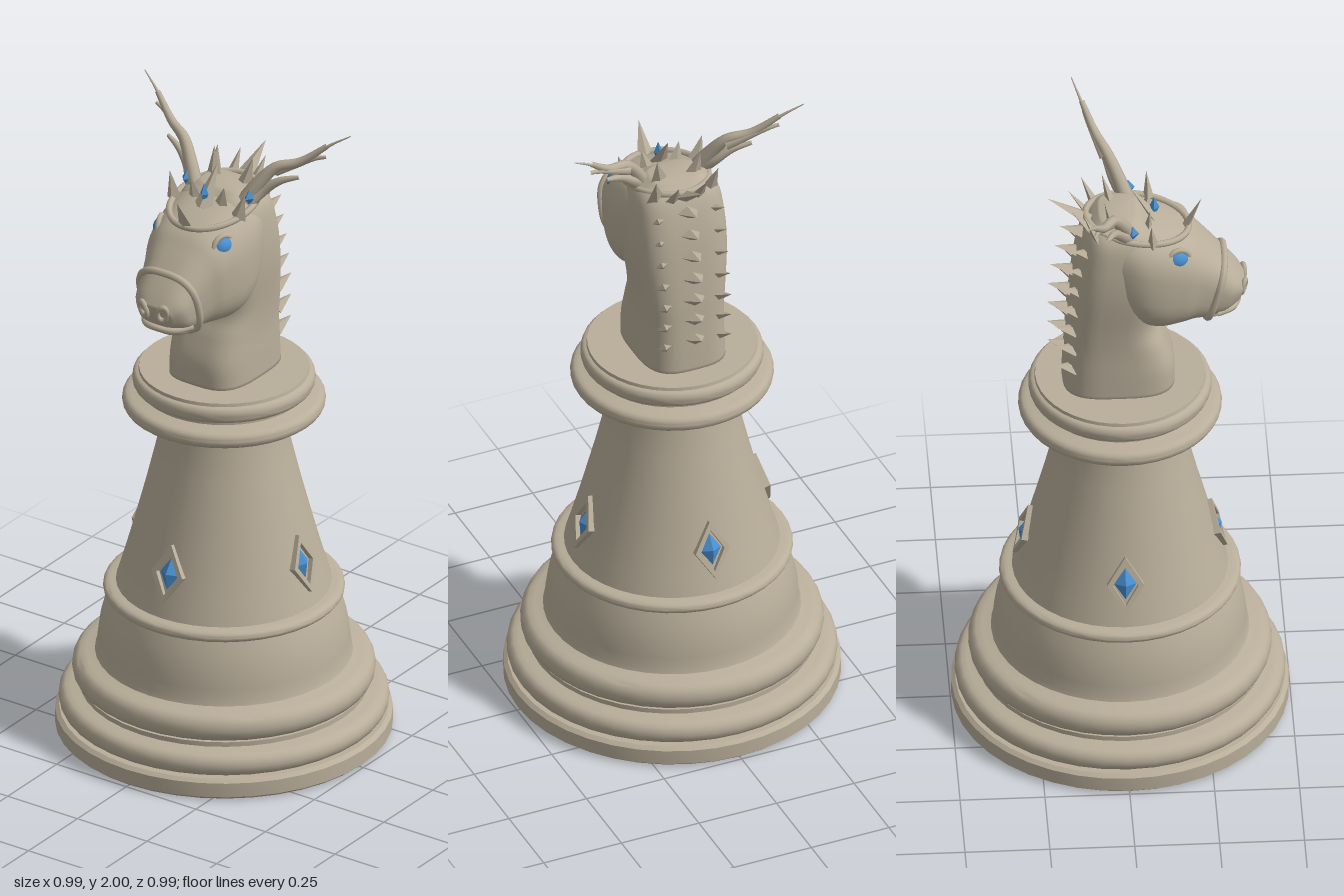
import * as THREE from 'three';
import { toCreasedNormals } from 'three/addons/utils/BufferGeometryUtils.js';

const V = (x, y, z) => new THREE.Vector3(x, y, z);
const spow = (v, p) => Math.sign(v) * Math.abs(v) ** p;

// Rows are [halfWidth, topY, topZ, bottomY, bottomZ]; gives a point on the smooth skin through them
function skin(rows, p) {
  const tops = new THREE.CatmullRomCurve3(rows.map(r => V(r[0], r[1], r[2])), false, 'catmullrom', 0.5);
  const bots = new THREE.CatmullRomCurve3(rows.map(r => V(r[0], r[3], r[4])), false, 'catmullrom', 0.5);
  return (t, a, k = 1) => {
    const u = tops.getPoint(t), b = bots.getPoint(t);
    const s = k * spow(Math.sin(a), p) / 2;
    return V(k * u.x * spow(Math.cos(a), p), (u.y + b.y) / 2 + s * (u.y - b.y), (u.z + b.z) / 2 + s * (u.z - b.z));
  };
}

// Closed lofted body from a skin function
function loft(point, rings = 36, n = 40) {
  const pos = [], idx = [];
  for (let i = 0; i <= rings; i++)
    for (let j = 0; j < n; j++) pos.push(...point(i / rings, j / n * Math.PI * 2).toArray());
  for (let i = 0; i < rings; i++)
    for (let j = 0; j < n; j++) {
      const a = i * n + j, b = i * n + (j + 1) % n;
      idx.push(a, b, a + n, b, b + n, a + n);
    }
  const c = pos.length / 3;
  pos.push(...point(0, 0, 0).toArray(), ...point(1, 0, 0).toArray());
  for (let j = 0; j < n; j++) {
    const k = (j + 1) % n;
    idx.push(c, k, j, c + 1, rings * n + j, rings * n + k);
  }
  const g = new THREE.BufferGeometry();
  g.setAttribute('position', new THREE.Float32BufferAttribute(pos, 3));
  g.setIndex(idx);
  g.computeVertexNormals();
  return g;
}

// Tube that narrows from r0 to r1
function taperTube(points, r0, r1) {
  const curve = new THREE.CatmullRomCurve3(points), seg = 20, rad = 8;
  const g = new THREE.TubeGeometry(curve, seg, r0, rad);
  const pos = g.attributes.position, v = V(0, 0, 0);
  for (let i = 0; i <= seg; i++) {
    const c = curve.getPointAt(i / seg), k = 1 + (r1 / r0 - 1) * i / seg;
    for (let j = 0; j <= rad; j++) {
      const q = i * (rad + 1) + j;
      v.fromBufferAttribute(pos, q).sub(c).multiplyScalar(k).add(c);
      pos.setXYZ(q, v.x, v.y, v.z);
    }
  }
  return g;
}

export function createModel() {
  const model = new THREE.Group();
  const stone = new THREE.MeshStandardMaterial({ color: 0xb9ae9a });
  stone.name = 'stone';
  const blue = new THREE.MeshStandardMaterial({ color: 0x4a90d0 });
  blue.name = 'blue gem';
  const add = (name, geo, mat = stone, parent = model) => {
    const m = new THREE.Mesh(geo, mat);
    m.name = name;
    parent.add(m);
    return m;
  };
  // Flat-sided thorn between two points
  const spike = (name, base, tip, width, flat = 0.5) => {
    const dir = tip.clone().sub(base), len = dir.length();
    const g = toCreasedNormals(new THREE.ConeGeometry(width, len, 4).translate(0, len / 2, 0), 0.3);
    const m = add(name, g);
    m.scale.z = flat;
    m.position.copy(base);
    m.quaternion.setFromUnitVectors(V(0, 1, 0), dir.normalize());
    return m;
  };

  // Turned pedestal
  const profile = [[0, 0], [0.485, 0], [0.497, 0.01], [0.497, 0.055], [0.485, 0.065]];
  const bead = (r, y, dr, dy) => {
    for (let i = 0; i <= 8; i++) {
      const a = -Math.PI / 2 + i / 8 * Math.PI;
      profile.push([r + dr * spow(Math.cos(a), 0.8), y + dy * Math.sin(a)]);
    }
  };
  bead(0.45, 0.1, 0.037, 0.035);
  profile.push([0.425, 0.14], [0.425, 0.155]);
  bead(0.405, 0.2, 0.042, 0.043);
  profile.push([0.38, 0.25], [0.375, 0.265], [0.372, 0.3], [0.365, 0.35], [0.352, 0.4], [0.335, 0.445]);
  bead(0.33, 0.46, 0.026, 0.018);
  profile.push([0.318, 0.48], [0.3, 0.54], [0.28, 0.61], [0.256, 0.7], [0.23, 0.8], [0.206, 0.9], [0.188, 0.98], [0.183, 1.02], [0.205, 1.035], [0.25, 1.05]);
  bead(0.275, 1.08, 0.025, 0.025);
  profile.push([0.245, 1.112], [0.245, 1.125]);
  bead(0.252, 1.15, 0.018, 0.025);
  profile.push([0.25, 1.185], [0, 1.187]);
  const lathe = new THREE.LatheGeometry(profile.map(p => new THREE.Vector2(...p)), 40);
  add('pedestal', toCreasedNormals(lathe, 0.6));

  // Four framed diamonds on the shaft
  const rhombus = (C, w, h) => {
    const s = new C();
    s.moveTo(0, -h); s.lineTo(w, 0); s.lineTo(0, h); s.lineTo(-w, 0); s.closePath();
    return s;
  };
  for (let i = 0; i < 4; i++) {
    const a = i * Math.PI / 2, g = new THREE.Group();
    g.name = 'shaftDiamond';
    g.rotation.set(-0.26, a, 0, 'YXZ');
    g.position.set(Math.sin(a) * 0.274, 0.61, Math.cos(a) * 0.274);
    const frame = rhombus(THREE.Shape, 0.055, 0.09);
    frame.holes.push(rhombus(THREE.Path, 0.038, 0.065));
    add('diamondFrame', new THREE.ExtrudeGeometry(frame, { depth: 0.02, bevelEnabled: false }), stone, g);
    add('diamondGem', new THREE.OctahedronGeometry(1).scale(0.038, 0.065, 0.026), blue, g);
    model.add(g);
  }

  // Neck (rows run back to front) and head (rows run top to bottom)
  add('neck', loft(skin([
    [0.132, 1.18, -0.172, 1.18, 0.16], [0.13, 1.26, -0.168, 1.26, 0.157], [0.128, 1.34, -0.163, 1.34, 0.13],
    [0.132, 1.42, -0.158, 1.42, 0.1], [0.145, 1.55, -0.145, 1.55, 0.12], [0.143, 1.66, -0.128, 1.66, 0.12],
    [0.125, 1.75, -0.1, 1.75, 0.09], [0.07, 1.795, -0.06, 1.795, 0.04]], 0.62)));
  const headSkin = skin([
    [0.11, 1.77, -0.08, 1.52, -0.08], [0.155, 1.785, 0.02, 1.43, 0.05], [0.16, 1.76, 0.11, 1.41, 0.11],
    [0.142, 1.72, 0.2, 1.415, 0.17], [0.12, 1.675, 0.25, 1.42, 0.21], [0.1, 1.615, 0.305, 1.42, 0.25],
    [0.088, 1.565, 0.345, 1.437, 0.295], [0.058, 1.53, 0.368, 1.46, 0.338]], 0.72);
  add('head', loft(headSkin));

  // Noseband, browband and lips
  const loop = (name, pts, r) => add(name, new THREE.TubeGeometry(new THREE.CatmullRomCurve3(pts, true), 64, r, 8, true));
  const around = f => Array.from({ length: 24 }, (_, i) => f(i / 24 * Math.PI * 2));
  loop('noseband', around(a => headSkin(5 / 7, a, 1.03)), 0.011);
  loop('browband', around(a => V(0.122 * Math.sin(a), 1.752 - 0.025 * Math.cos(a), 0.05 + 0.152 * Math.cos(a))), 0.01);
  add('upperLip', taperTube([V(-0.085, 1.455, 0.28), V(-0.05, 1.452, 0.33), V(0, 1.455, 0.347), V(0.05, 1.452, 0.33), V(0.085, 1.455, 0.28)], 0.01, 0.01));
  add('lowerLip', new THREE.SphereGeometry(1, 20, 12).scale(0.065, 0.022, 0.05).translate(0, 1.432, 0.268));

  // Crown: front horn, centre point with gem, and rear points
  spike('frontHorn', V(0, 1.725, 0.195), V(0, 1.82, 0.24), 0.025);
  spike('crownCentre', V(0, 1.75, 0.11), V(0, 1.87, 0.03), 0.035);
  add('crownGem', new THREE.OctahedronGeometry(1).scale(0.014, 0.035, 0.016).translate(0, 1.795, 0.1), blue);
  spike('crownRear', V(0, 1.75, -0.08), V(0, 1.84, -0.215), 0.04);

  for (const s of [1, -1]) {
    // Eyes with rims
    const eye = new THREE.Group();
    eye.name = 'eye';
    eye.position.set(s * 0.112, 1.68, 0.165);
    eye.rotation.y = s * 1.25;
    add('eyeball', new THREE.SphereGeometry(1, 20, 14).scale(0.032, 0.029, 0.022), blue, eye);
    add('eyeRim', new THREE.TorusGeometry(0.035, 0.008, 8, 24), stone, eye);
    model.add(eye);

    // Nostrils
    const nostril = add('nostril', new THREE.TorusGeometry(0.019, 0.008, 8, 20).scale(0.8, 1.25, 1));
    nostril.position.set(s * 0.034, 1.515, 0.362);
    nostril.rotation.set(0.2, s * 0.35, -s * 0.2);

    // Ears, crown points and side gems
    spike('ear', V(s * 0.115, 1.745, 0.09), V(s * 0.135, 1.825, 0.085), 0.026, 0.6);
    spike('crownPoint', V(s * 0.045, 1.755, 0.08), V(s * 0.06, 1.825, 0.085), 0.026);
    spike('crownPoint', V(s * 0.05, 1.76, -0.02), V(s * 0.07, 1.87, -0.05), 0.035);
    spike('crownPoint', V(s * 0.085, 1.75, -0.07), V(s * 0.1, 1.84, -0.11), 0.03);
    spike('crownPoint', V(s * 0.04, 1.75, -0.09), V(s * 0.045, 1.83, -0.15), 0.025);
    add('sideGem', new THREE.OctahedronGeometry(1).scale(0.016, 0.026, 0.02).translate(s * 0.112, 1.785, 0.03), blue);

    // Antlers: overlapping tapered strands ending in a fine tip
    const strand = (pts, r0, r1) => add('antler', taperTube(pts.map(p => V(s * p[0], p[1], p[2])), r0, r1));
    strand([[0.085, 1.76, 0.025], [0.12, 1.82, 0], [0.165, 1.875, -0.03], [0.23, 1.9, -0.06], [0.305, 1.96, -0.095]], 0.024, 0.008);
    strand([[0.1, 1.76, 0.02], [0.135, 1.8, -0.01], [0.18, 1.835, -0.03], [0.235, 1.855, -0.05]], 0.022, 0.006);
    strand([[0.16, 1.86, -0.035], [0.22, 1.89, -0.06], [0.27, 1.915, -0.08], [0.305, 1.925, -0.09]], 0.016, 0.005);
    strand([[0.26, 1.92, -0.075], [0.315, 1.965, -0.1], [0.37, 2.0, -0.122]], 0.007, 0.0015);
  }

  // Mane: large middle thorns with a smaller row along each back edge
  for (let i = 0; i < 7; i++) {
    const y = 1.72 - i * 0.07, z = -0.1 - 0.055 * Math.min(1, (1.74 - y) / 0.28);
    spike('maneThorn', V(0, y - 0.01, z), V(0, y + 0.015, Math.max(z - 0.075, -0.215)), 0.036, 0.6);
    for (const s of [1, -1])
      spike('maneSideThorn', V(s * 0.085, y - 0.03, z + 0.015), V(s * 0.105, y, z - 0.04), 0.026, 0.6);
  }
  return model;
}
